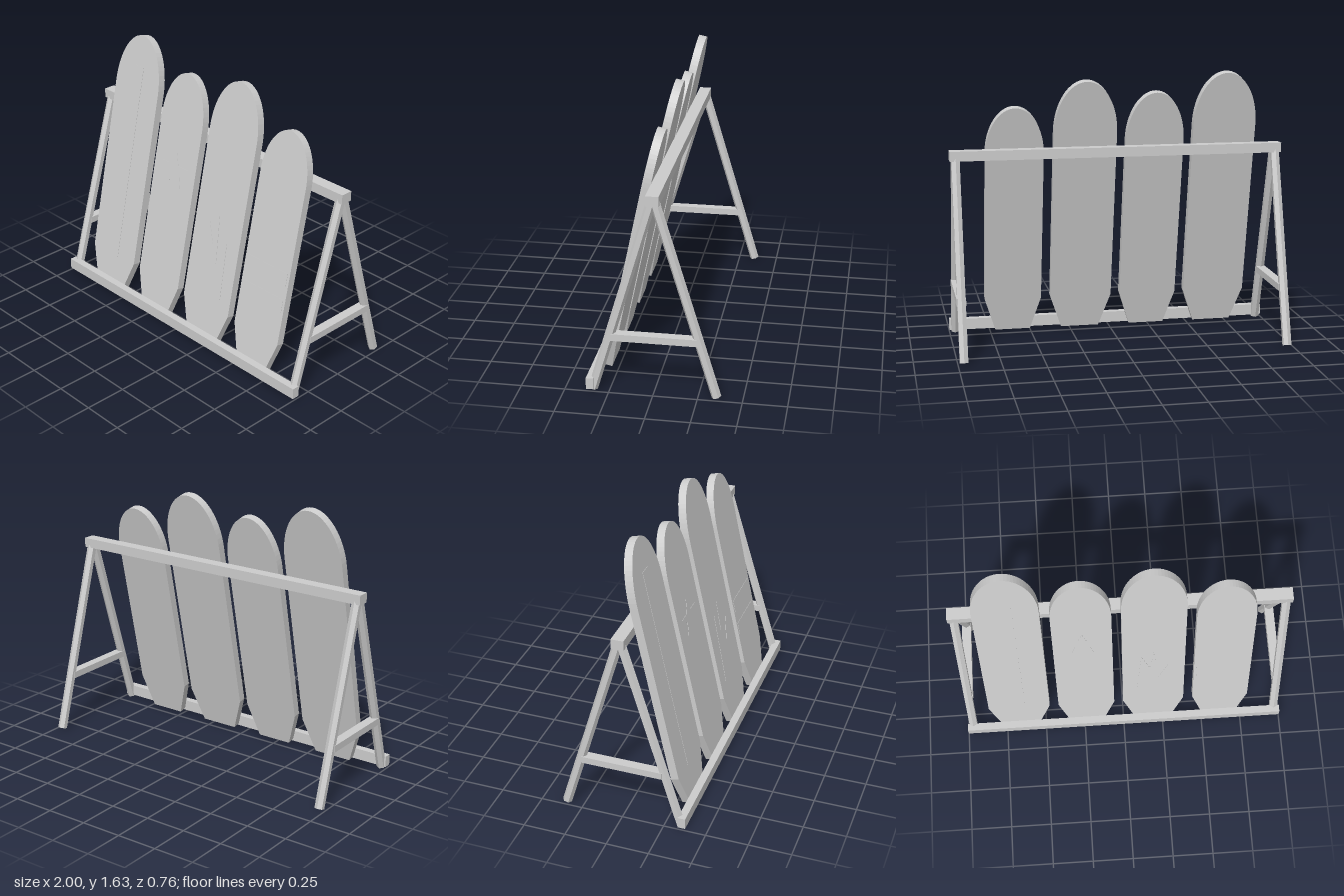
import * as THREE from 'three';

const grey = new THREE.MeshStandardMaterial({ color: 0xcccccc });
grey.name = 'plain grey';

function add(parent, geometry, name, x = 0, y = 0, z = 0) {
  const mesh = new THREE.Mesh(geometry, grey);
  mesh.name = name;
  mesh.position.set(x, y, z);
  parent.add(mesh);
  return mesh;
}

// Six-sided pole between two points, flat sides facing left and right
function pole(parent, name, from, to, radius) {
  const dir = to.clone().sub(from);
  const mesh = add(parent, new THREE.CylinderGeometry(radius, radius, dir.length(), 6), name);
  mesh.material.flatShading = true;
  mesh.position.copy(from).add(to).multiplyScalar(0.5);
  mesh.quaternion.setFromUnitVectors(new THREE.Vector3(0, 1, 0), dir.normalize());
}

// Board outline: tapered square tail, straight sides, elliptical nose
function boardShape(width, length) {
  const h = width / 2, tail = h - 0.19 * width, nose = 0.2 * length;
  const s = new THREE.Shape();
  s.moveTo(-tail, 0);
  s.lineTo(tail, 0);
  s.lineTo(h, 0.21);
  s.lineTo(h, length - nose);
  s.absellipse(0, length - nose, h, nose, 0, Math.PI, false, 0);
  s.lineTo(-h, 0.21);
  s.closePath();
  return s;
}

const polygon = (points) => new THREE.Shape(points.map(([x, y]) => new THREE.Vector2(x, y)));
const rectangle = (w, y0, y1) => polygon([[-w / 2, y0], [w / 2, y0], [w / 2, y1], [-w / 2, y1]]);

function star(cy, outer, inner) {
  const points = [];
  for (let i = 0; i < 10; i++) {
    const a = Math.PI / 2 + (i * Math.PI) / 5, r = i % 2 ? inner : outer;
    points.push([r * Math.cos(a), cy + r * Math.sin(a)]);
  }
  return polygon(points);
}

const peaks = polygon([[-0.107, 0.29], [0.107, 0.29], [0.09, 0.64], [0.03, 0.49],
  [0, 0.79], [-0.02, 0.6], [-0.075, 0.74]]);

export function createModel() {
  const model = new THREE.Group();
  model.name = 'boardRack';

  // Rails
  add(model, new THREE.BoxGeometry(2, 0.058, 0.073), 'topRail', 0, 1.159, -0.004);
  add(model, new THREE.BoxGeometry(2, 0.067, 0.045), 'bottomRail', 0, 0.047, 0.356);

  // A-frame at each end
  for (const side of [-1, 1]) {
    const frame = new THREE.Group();
    frame.name = side > 0 ? 'leftFrame' : 'rightFrame';
    model.add(frame);
    const x = side * 0.965;
    pole(frame, 'frontLeg', new THREE.Vector3(x, 0.009, 0.344), new THREE.Vector3(x, 1.155, 0.002), 0.028);
    pole(frame, 'backLeg', new THREE.Vector3(x, 0.009, -0.353), new THREE.Vector3(x, 1.155, -0.01), 0.028);
    add(frame, new THREE.BoxGeometry(0.056, 0.041, 0.487), 'brace', x, 0.341, -0.005);
  }

  // Boards leaning back on the top rail, each with a raised motif
  const tilt = 0.21, foot = 0.025, thickness = 0.048;
  const boards = [
    { x: -0.658, width: 0.385, top: 1.628, motifs: [rectangle(0.078, 0.2, 1.45)] },
    { x: -0.233, width: 0.353, top: 1.516, motifs: [star(0.92, 0.115, 0.046)] },
    { x: 0.19, width: 0.38, top: 1.59, motifs: [peaks] },
    { x: 0.612, width: 0.348, top: 1.44, motifs: [rectangle(0.315, 0.41, 0.49), rectangle(0.315, 0.57, 0.65)] },
  ];
  boards.forEach(({ x, width, top, motifs }, i) => {
    const group = new THREE.Group();
    group.name = `board${i + 1}`;
    group.position.set(x, foot, 0.333);
    group.rotation.x = -tilt;
    model.add(group);
    const shape = boardShape(width, (top - foot) / Math.cos(tilt));
    add(group, new THREE.ExtrudeGeometry(shape, { depth: thickness, bevelEnabled: false, curveSegments: 16 }),
      'boardBody', 0, 0, -thickness);
    for (const motif of motifs) {
      add(group, new THREE.ExtrudeGeometry(motif, { depth: 0.003, bevelEnabled: false }), 'boardMotif', 0, 0, -0.001);
    }
  });

  return model;
}
